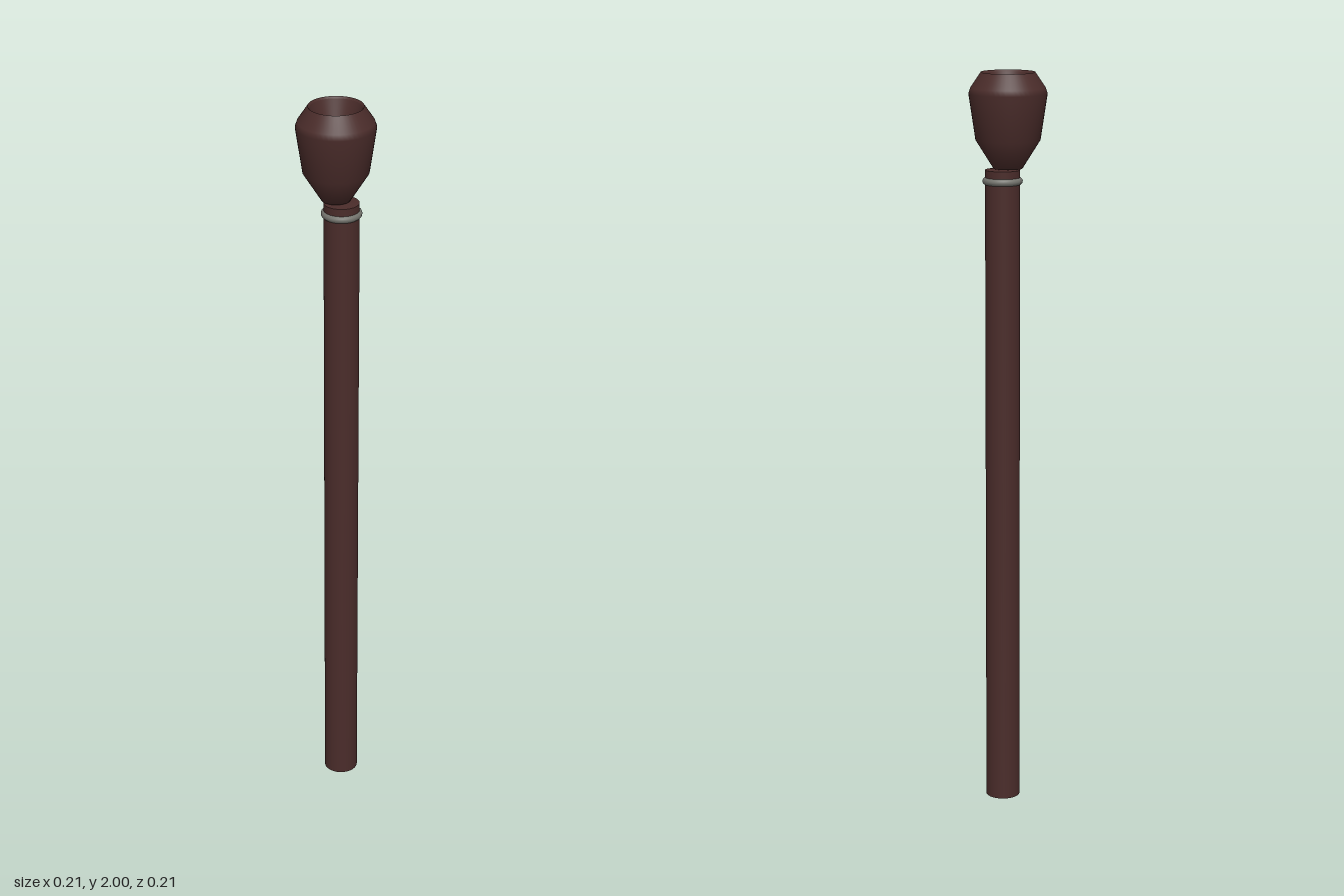
import * as THREE from 'three';

const SEGMENTS = 48;
const STEM_X = 0.017; // the stem sits slightly off the bowl's axis

const wood = new THREE.MeshStandardMaterial({ color: 0x4a2c2a, side: THREE.DoubleSide });
const metal = new THREE.MeshStandardMaterial({ color: 0x74746e });

// Surface of revolution from [radius, height] pairs
function lathe(name, profile, material) {
  const points = profile.map(([r, y]) => new THREE.Vector2(r, y));
  const mesh = new THREE.Mesh(new THREE.LatheGeometry(points, SEGMENTS), material);
  mesh.name = name;
  return mesh;
}

export function createModel() {
  const model = new THREE.Group();
  model.name = 'pipe';

  // Hollow stem, open at the foot and closed under the bowl
  const stem = new THREE.Group();
  stem.name = 'stem';
  stem.position.x = STEM_X;
  stem.add(
    lathe('stemWall', [[0.046, 0], [0.046, 1.745]], wood),
    lathe('stemFootRim', [[0.042, 0], [0.046, 0]], wood),
    lathe('stemBore', [[0, 0.12], [0.042, 0]], wood),
    lathe('stemTop', [[0.046, 1.745], [0, 1.75]], wood),
  );
  model.add(stem);

  // Thin rounded metal ring near the top of the stem
  const ring = new THREE.Mesh(new THREE.TorusGeometry(0.043, 0.01, 12, SEGMENTS), metal);
  ring.name = 'ring';
  ring.rotation.x = Math.PI / 2;
  ring.position.set(STEM_X, 1.716, 0);
  model.add(ring);

  // Bowl: flared outside, narrow lip, conical hollow
  const bowl = new THREE.Group();
  bowl.name = 'bowl';
  bowl.add(
    lathe('bowlWall', [[0, 1.745], [0.038, 1.75], [0.085, 1.825], [0.103, 1.945], [0.098, 1.96], [0.071, 2]], wood),
    lathe('bowlLip', [[0.071, 2], [0.067, 1.995]], wood),
    lathe('bowlHollow', [[0.067, 1.995], [0, 1.8]], wood),
  );
  model.add(bowl);

  return model;
}
